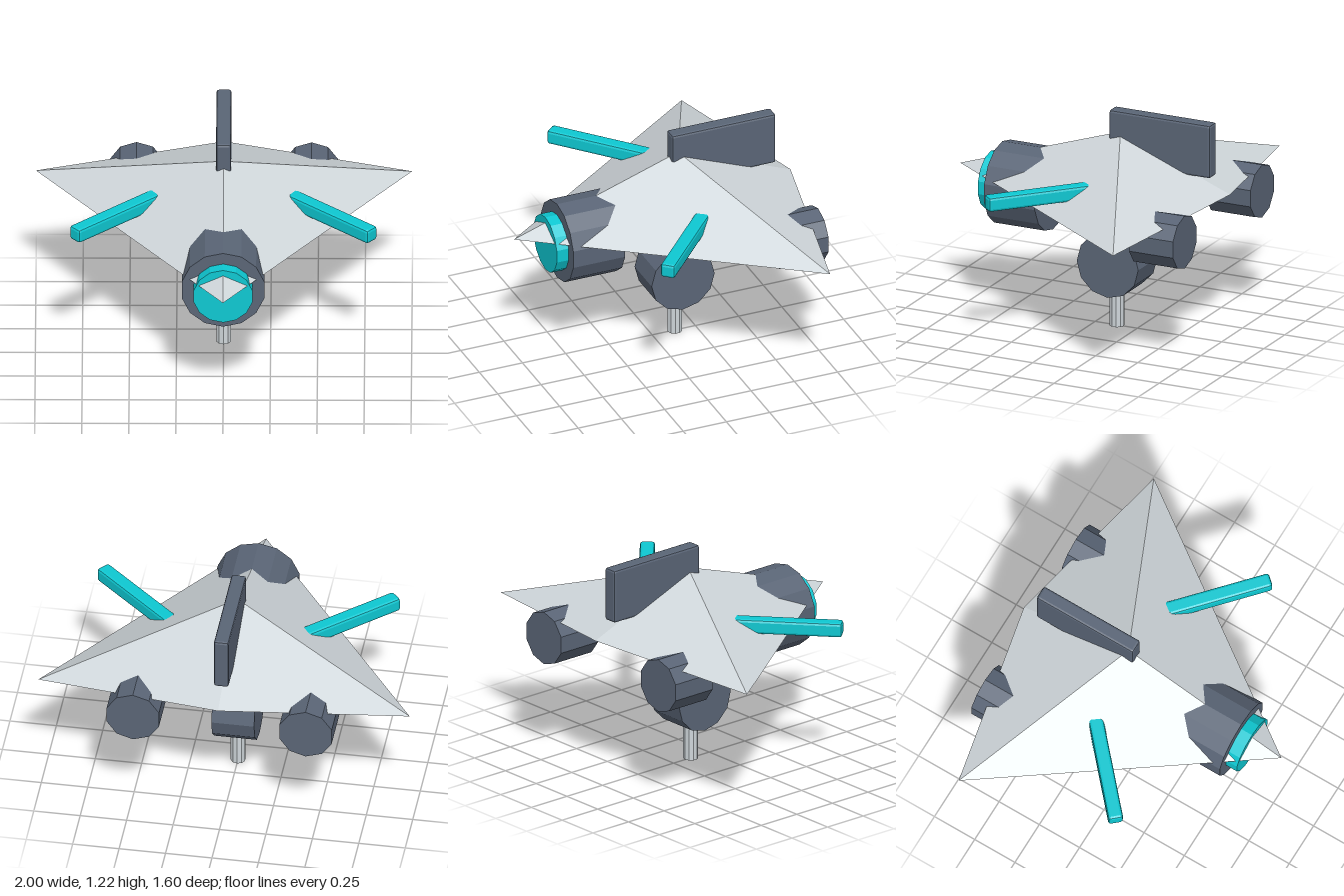
import * as THREE from 'three';
import { RoundedBoxGeometry } from 'three/addons/geometries/RoundedBoxGeometry.js';

const paint = (name, color) => {
  const m = new THREE.MeshStandardMaterial({ color });
  m.name = name;
  return m;
};

// Split faces so every facet is flat
function faceted(geo) {
  const g = geo.index ? geo.toNonIndexed() : geo;
  g.computeVertexNormals();
  return g;
}

// Hull: a ring of four corners closed by a top and a belly point
function hullGeometry() {
  const ring = [[0, 0.77, 0.8], [1, 0.77, -0.6], [0, 0.835, -0.8], [-1, 0.77, -0.6]];
  const top = [0, 1.09, -0.15], belly = [0, 0.505, -0.15];
  const pos = [];
  ring.forEach((a, i) => {
    const b = ring[(i + 1) % 4];
    pos.push(...top, ...a, ...b, ...belly, ...b, ...a);
  });
  const g = new THREE.BufferGeometry();
  g.setAttribute('position', new THREE.Float32BufferAttribute(pos, 3));
  return faceted(g);
}

const chamferBox = (w, h, d, bevel) => faceted(new RoundedBoxGeometry(w, h, d, 1, bevel));
const cylinder = (r, length, sides) => new THREE.CylinderGeometry(r, r, length, sides);
const podGeometry = (r, length, sides) => faceted(cylinder(r, length, sides).rotateX(Math.PI / 2));

export function createModel() {
  const pale = paint('pale grey', 0xcfd6da);
  const slate = paint('slate', 0x5a6576);
  const cyan = paint('cyan', 0x0ec8d2);

  const model = new THREE.Group();
  const add = (name, geo, mat, x = 0, y = 0, z = 0) => {
    const mesh = new THREE.Mesh(geo, mat);
    mesh.name = name;
    mesh.position.set(x, y, z);
    model.add(mesh);
    return mesh;
  };

  add('hull', hullGeometry(), pale);
  add('topFin', chamferBox(0.08, 0.297, 0.6, 0.013), slate, 0, 1.068, -0.4);

  // Nose pod with its glowing lens
  add('nosePod', podGeometry(0.225, 0.3, 14), slate, 0, 0.705, 0.4);
  add('noseLens', podGeometry(0.16, 0.1, 14), cyan, 0, 0.705, 0.568);

  // Underside drum on its stand
  add('bellyDrum', faceted(cylinder(0.182, 0.23, 12).rotateZ(Math.PI / 2)), slate, 0, 0.37, -0.13);
  add('standPost', faceted(cylinder(0.04, 0.35, 10)), pale, 0, 0.175, -0.13);

  // Mirrored rear engines and angled side bars
  for (const [side, s] of [['left', 1], ['right', -1]]) {
    add(side + 'RearEngine', podGeometry(0.148, 0.26, 10), slate, s * 0.465, 0.705, -0.63);
    const bar = add(side + 'SideBar', chamferBox(0.65, 0.08, 0.08, 0.015), cyan, s * 0.551, 0.87, 0.035);
    bar.rotation.y = -s * 0.733;
  }
  return model;
}
